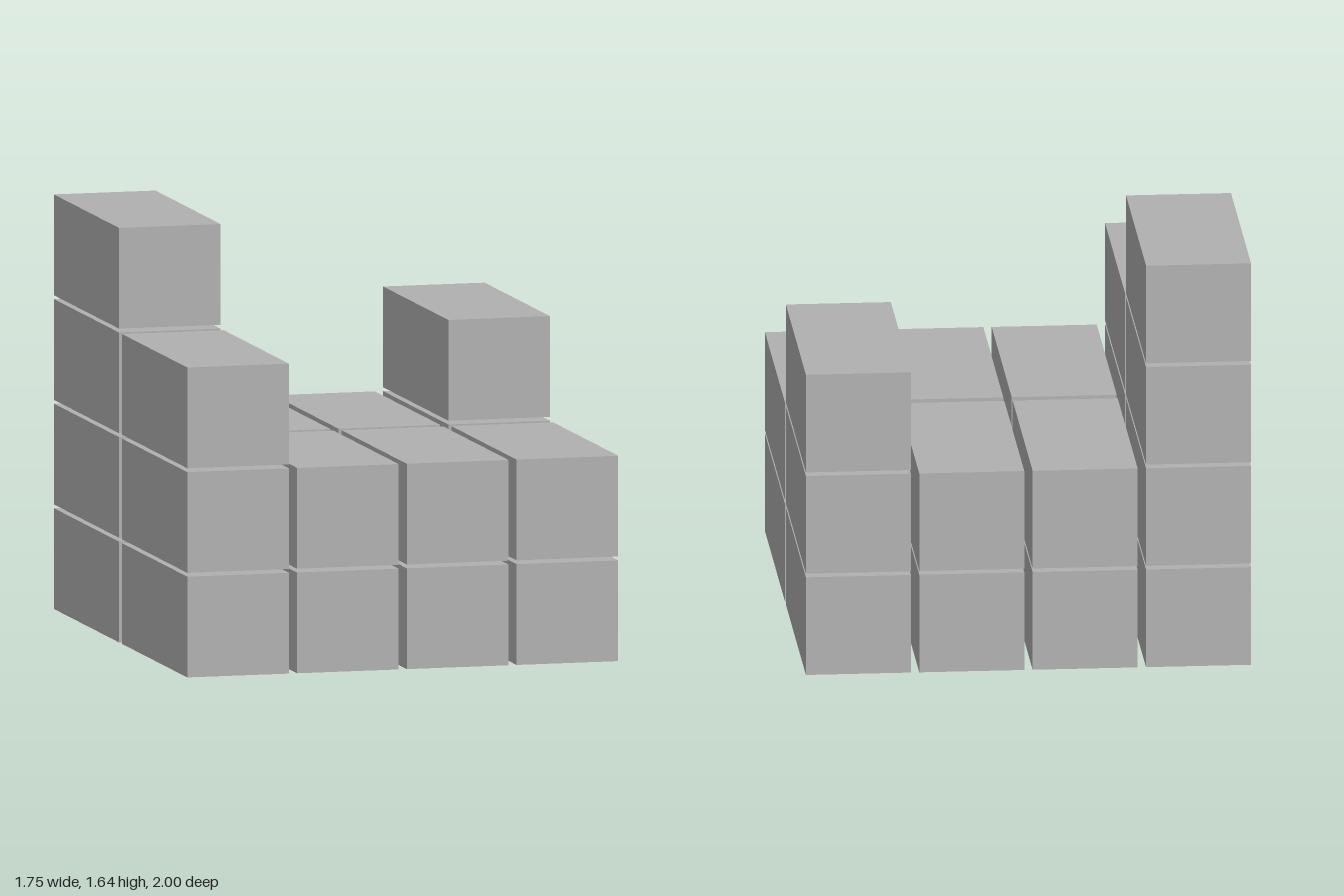
import * as THREE from 'three';

const W = 0.414, H = 0.4, D = 0.977;                  // crate size
const PITCH_X = 0.447, PITCH_Y = 0.415, PITCH_Z = 1.023; // spacing with gaps

// Box shell with an open underside
function openBox(w, h, d) {
  const geo = new THREE.BoxGeometry(w, h, d);
  const idx = Array.from(geo.index.array);
  idx.splice(18, 6); // drop the bottom face
  geo.setIndex(idx);
  geo.clearGroups();
  return geo;
}

export function createModel() {
  const model = new THREE.Group();
  model.name = 'stackedCrates';

  const grey = new THREE.MeshStandardMaterial({ color: 0xb0b0b0, side: THREE.DoubleSide });
  grey.name = 'grey';
  const crate = openBox(W, H, D);

  // Stack heights from -x to +x
  const rows = [
    { name: 'back', z: -PITCH_Z / 2, heights: [4, 2, 2, 3] },
    { name: 'front', z: PITCH_Z / 2, heights: [3, 2, 2, 2] },
  ];

  for (const row of rows) {
    row.heights.forEach((count, col) => {
      const stack = new THREE.Group();
      stack.name = `${row.name}Stack${col + 1}`;
      stack.position.set((col - 1.5) * PITCH_X, 0, row.z);
      for (let level = 0; level < count; level++) {
        const mesh = new THREE.Mesh(crate, grey);
        mesh.name = `crate${level + 1}`;
        mesh.position.y = H / 2 + level * PITCH_Y;
        stack.add(mesh);
      }
      model.add(stack);
    });
  }
  return model;
}
